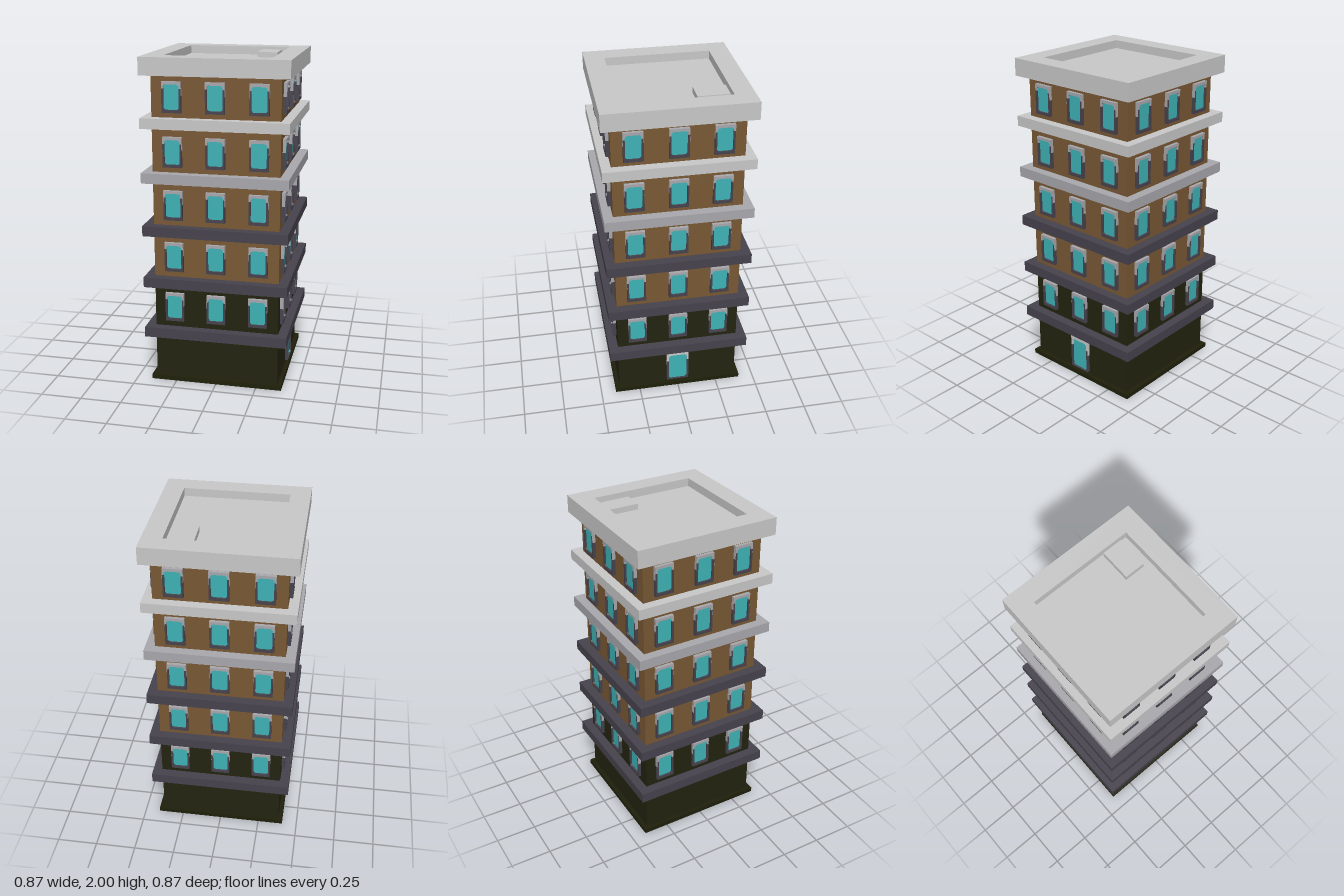
import * as THREE from 'three';

const mat = (name, color) => {
  const m = new THREE.MeshStandardMaterial({ color });
  m.name = name;
  return m;
};

export function createModel() {
  const model = new THREE.Group();
  model.name = 'building';
  const brown = mat('brown wall', 0x785834);
  const darkWall = mat('dark wall', 0x232310);
  const plinthMat = mat('plinth', 0x1f1f0b);
  const light = mat('light stone', 0xc8c8c8);
  const grey = mat('grey stone', 0xa8a8ad);
  const slate = mat('slate', 0x46424d);
  const glass = mat('teal glass', 0x3eb2b5);

  const box = (parent, name, m, x0, x1, y0, y1, z0, z1) => {
    const mesh = new THREE.Mesh(new THREE.BoxGeometry(x1 - x0, y1 - y0, z1 - z0), m);
    mesh.position.set((x0 + x1) / 2, (y0 + y1) / 2, (z0 + z1) / 2);
    mesh.name = name;
    parent.add(mesh);
  };
  const slab = (name, m, half, y0, y1) => box(model, name, m, -half, half, y0, y1, -half, half);
  const extrude = (points, depth) => new THREE.ExtrudeGeometry(
    new THREE.Shape(points.map(p => new THREE.Vector2(...p))), { depth, bevelEnabled: false });

  // Walls and plinth
  slab('plinth', plinthMat, 0.407, 0, 0.028);
  slab('lowerWalls', darkWall, 0.38, 0.028, 0.64);
  slab('upperWalls', brown, 0.38, 0.64, 1.91);

  // Floor ledges, paler towards the top
  [slate, slate, slate, grey, light].forEach((m, i) => {
    const y = 0.295 + 0.3235 * i;
    slab('ledge', m, 0.437, y, y + 0.062);
  });

  // Parapet ring with sunken roof
  const ring = new THREE.Shape([[-1, -1], [1, -1], [1, 1], [-1, 1]]
    .map(([x, y]) => new THREE.Vector2(x * 0.437, y * 0.437)));
  ring.holes.push(new THREE.Path([[-1, -1], [-1, 1], [1, 1], [1, -1]]
    .map(([x, y]) => new THREE.Vector2(x * 0.318, y * 0.318))));
  const parapet = new THREE.Mesh(
    new THREE.ExtrudeGeometry(ring, { depth: 0.105, bevelEnabled: false }), light);
  parapet.rotation.x = -Math.PI / 2;
  parapet.position.y = 1.895;
  parapet.name = 'parapet';
  model.add(parapet);
  slab('roof', light, 0.319, 1.9, 1.95);
  box(model, 'roofHatch', light, 0.15, 0.273, 1.94, 1.985, -0.308, -0.12);

  // Framed opening: w, g = outer and glass half widths; s = where jambs meet the cap
  const opening = ({ w, h, g, gb, gt, s, c }, capMat) => {
    const jambs = extrude([[-w, 0], [w, 0], [w, s], [g, s], [g, gb + c], [g - c, gb],
      [c - g, gb], [-g, gb + c], [-g, s], [-w, s]], 0.02);
    const cap = extrude([[w, s], [w, h], [-w, h], [-w, s], [-g, s], [-g, gt - c],
      [c - g, gt], [g - c, gt], [g, gt - c], [g, s]], 0.02);
    const pane = extrude([[c - g, gb], [g - c, gb], [g, gb + c], [g, gt - c],
      [g - c, gt], [c - g, gt], [-g, gt - c], [-g, gb + c]], 0.009);
    return (name, x, y) => {
      const group = new THREE.Group();
      group.name = name;
      [['frame', jambs, slate], ['cap', cap, capMat], ['pane', pane, glass]].forEach(([n, geo, m]) => {
        const mesh = new THREE.Mesh(geo, m);
        mesh.name = n;
        group.add(mesh);
      });
      // Pale strips down the outer sides of the frame
      for (const k of [-1, 1]) {
        box(group, 'capStrip', capMat, k * w - 0.001, k * w + 0.001, h * 0.55, s, 0, 0.0195);
      }
      group.position.set(x, y, 0.38);
      return group;
    };
  };
  const makeWindow = opening(
    { w: 0.057, h: 0.18, g: 0.046, gb: 0.017, gt: 0.163, s: 0.14, c: 0.01 }, grey);
  const makeDoor = opening(
    { w: 0.07, h: 0.22, g: 0.059, gb: 0.004, gt: 0.2, s: 0.155, c: 0.012 }, light);

  // Windows on all four sides, door on the -x or +x entrance side
  for (let side = 0; side < 4; side++) {
    const facade = new THREE.Group();
    facade.name = 'facade';
    facade.rotation.y = side * Math.PI / 2;
    for (let floor = 0; floor < 5; floor++) {
      for (const x of [-0.256, 0, 0.256]) {
        facade.add(makeWindow('window', x, 0.397 + 0.321 * floor));
      }
    }
    if (side === 1) facade.add(makeDoor('door', 0, 0.045));
    model.add(facade);
  }
  return model;
}
